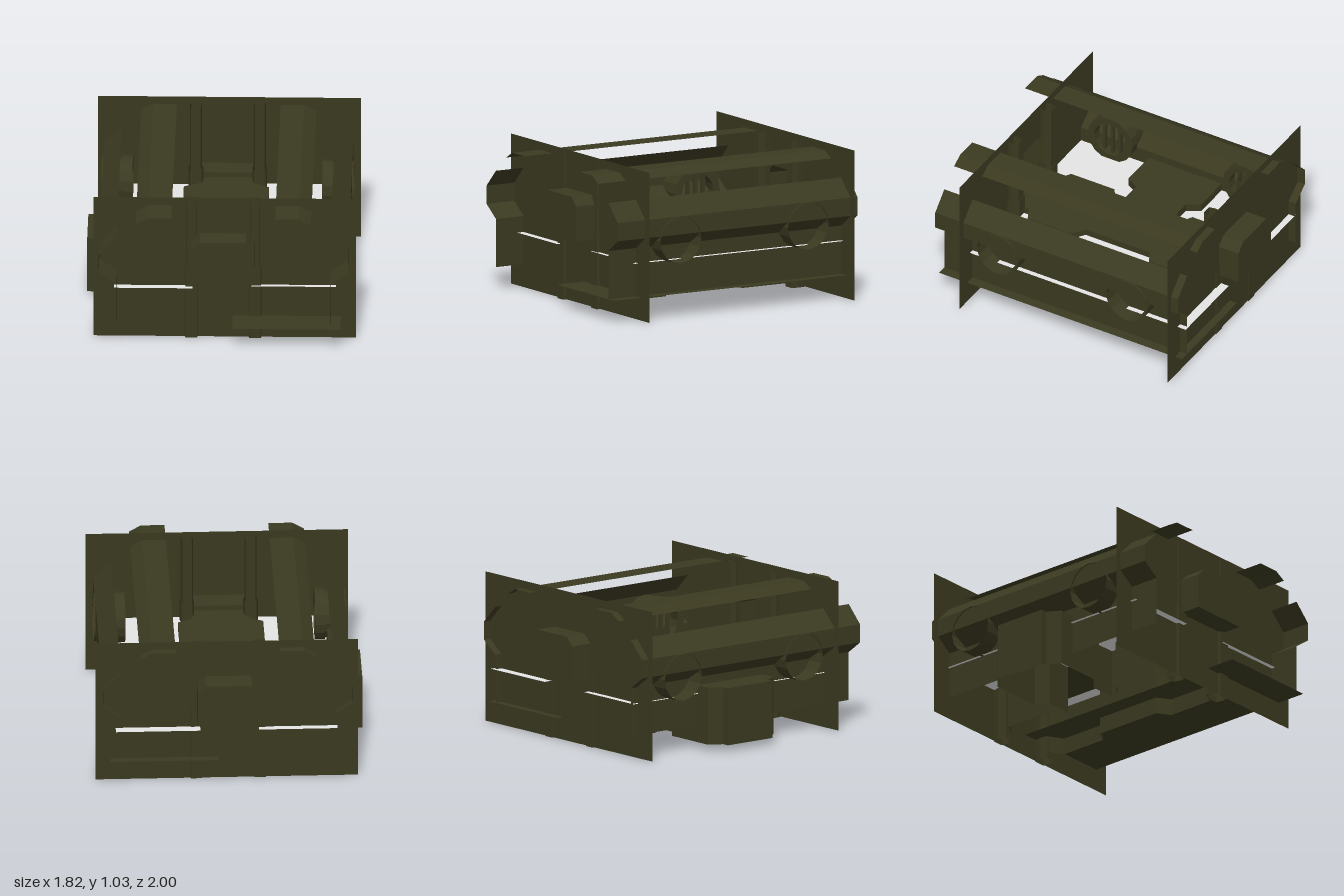
import * as THREE from 'three';

const olive = new THREE.MeshStandardMaterial({ name: 'olive drab', color: 0x3a3920, side: THREE.DoubleSide, flatShading: true });
const grey = new THREE.MeshStandardMaterial({ name: 'pale grey', color: 0xe4e4e4, side: THREE.DoubleSide });

// Axis of the symmetric hull parts, and length range of the side sheets
const CX = 0.02, Z0 = -0.9, Z1 = 1.0;

function add(group, name, geometry, material = olive) {
  const mesh = new THREE.Mesh(geometry, material);
  mesh.name = name;
  group.add(mesh);
  return mesh;
}

const toShape = (points) => new THREE.Shape(points.map(([x, y]) => new THREE.Vector2(x, y)));
const closed = (points) => [...points, points[0]];

// Open sheet: a profile of [x, y] points swept along z
function sheet(profile, z0 = Z0, z1 = Z1) {
  const pos = [], idx = [];
  profile.forEach(([x, y], i) => {
    pos.push(x, y, z0, x, y, z1);
    if (i) {
      const a = 2 * i - 2;
      idx.push(a, a + 1, a + 2, a + 1, a + 3, a + 2);
    }
  });
  const g = new THREE.BufferGeometry();
  g.setAttribute('position', new THREE.Float32BufferAttribute(pos, 3));
  g.setIndex(idx);
  const flat = g.toNonIndexed();
  flat.computeVertexNormals();
  return flat;
}

// Upright open walls around a plan outline of [x, z] points
function planWalls(points, y0, y1) {
  return sheet(closed(points.map(([x, z]) => [x, -z])), y0, y1).rotateX(-Math.PI / 2);
}

// Short open drum facing inward, with a rim ring and upright slats
function lampDrum(side, z) {
  const g = new THREE.Group();
  g.name = 'sideDrum';
  const tube = (r, x0, x1) => new THREE.CylinderGeometry(r, r, x1 - x0, 16, 1, true)
    .rotateZ(Math.PI / 2).translate((x0 + x1) / 2, 0, 0);
  add(g, 'drumRim', tube(0.175, 0, 0.07));
  add(g, 'drumBarrel', tube(0.162, 0.07, 0.21));
  add(g, 'drumInnerRim', tube(0.125, 0, 0.07));
  add(g, 'drumRing', new THREE.RingGeometry(0.125, 0.175, 16).rotateY(-Math.PI / 2));
  for (const dz of [-0.06, 0, 0.06]) {
    const h = 2 * Math.sqrt(0.125 ** 2 - dz ** 2);
    add(g, 'drumSlat', new THREE.BoxGeometry(0.03, h, 0.02).translate(0.035, 0, dz));
  }
  g.rotation.y = side < 0 ? Math.PI : 0;
  g.position.set(CX + side * 0.64, 0.54, z);
  return g;
}

export function createModel() {
  const model = new THREE.Group();
  model.name = 'hullAssembly';

  // End plates, each opening into a housing with chamfered top corners
  const housing = [[-0.2, 0.47], [0.225, 0.47], [0.225, 0.71], [0.17, 0.768], [-0.14, 0.768], [-0.2, 0.71]];
  for (const [end, zPlate, zCap] of [['front', 0.78, 0.938], ['back', -0.845, -1.0]]) {
    const plate = toShape([[-0.86, 0.003], [0.91, 0.003], [0.91, 1.03], [-0.86, 1.03]]);
    plate.holes.push(toShape(housing));
    add(model, end + 'Plate', new THREE.ShapeGeometry(plate).translate(0, 0, zPlate));
    add(model, end + 'HousingWalls', sheet(closed(housing), Math.min(zPlate, zCap), Math.max(zPlate, zCap)));
    add(model, end + 'HousingCap', new THREE.ShapeGeometry(toShape(housing)).translate(0, 0, zCap));
  }

  // Mirrored long sheets: upper rail, bulged side and lower wall
  for (const s of [1, -1]) {
    const mirror = (pts) => pts.map(([x, y]) => [CX + s * x, y]);
    add(model, 'upperRail', sheet(mirror([[0.35, 0.975], [0.51, 0.975], [0.59, 0.93]])));
    add(model, 'sideSheet', sheet(mirror([[0.72, 0.82], [0.84, 0.70], [0.84, 0.575], [0.72, 0.49], [0.72, 0.16]])));
  }

  // Floor on one side, with a narrow ledge outside the wall
  add(model, 'floorSheet', sheet([[0.08, 0.16], [0.81, 0.16]]));

  // Pale inner decks on either side of the underbody
  add(model, 'leftDeck', sheet([[0.205, 0.39], [0.775, 0.39]], -0.91, 0.81), grey);
  add(model, 'rightDeck', sheet([[-0.72, 0.38], [-0.19, 0.38]], -0.89, 0.83), grey);

  // Underbody tray, open below: two widened sections and a side branch
  const edge = [[0.2, 0.78], [0.2, 0.66], [0.295, 0.61], [0.295, 0.27], [0.205, 0.21],
    [0.205, -0.29], [0.295, -0.34], [0.295, -0.69], [0.2, -0.74], [0.2, -0.845]];
  const opposite = edge.map(([x, z]) => [0.015 - x, z]).reverse();
  const branch = [[-0.19, -0.23], [-0.38, -0.23], [-0.43, -0.32], [-0.815, -0.32], [-0.865, -0.23], [-0.914, -0.23],
    [-0.914, 0.16], [-0.865, 0.16], [-0.815, 0.25], [-0.43, 0.25], [-0.38, 0.16], [-0.19, 0.16]];
  const tray = [...edge, ...opposite.slice(0, 5), ...branch, ...opposite.slice(5)];
  add(model, 'underbodyWalls', planWalls(tray, 0.043, 0.435));
  add(model, 'underbodyTop', new THREE.ShapeGeometry(toShape(tray.map(([x, z]) => [x, -z])))
    .rotateX(-Math.PI / 2).translate(0, 0.435, 0));

  // Hollow six-sided posts, wider below than above
  const post = (tip, flat, rz, y0, y1) => planWalls(
    [[tip, 0], [flat, rz], [-flat, rz], [-tip, 0], [-flat, -rz], [flat, -rz]], y0, y1);
  for (const [z, top] of [[0.745, 1.0], [-0.797, 0.99]]) {
    for (const x of [-0.2, 0.23]) {
      add(model, 'upperPost', post(0.042, 0.032, 0.045, 0.53, top)).position.set(x, 0, z);
      add(model, 'lowerPost', post(0.05, 0.038, 0.053, 0.0, 0.53)).position.set(x, 0, z);
    }
  }

  // Side drums
  for (const [s, z] of [[1, 0.505], [1, -0.505], [-1, 0.505], [-1, -0.55]]) model.add(lampDrum(s, z));

  return model;
}
